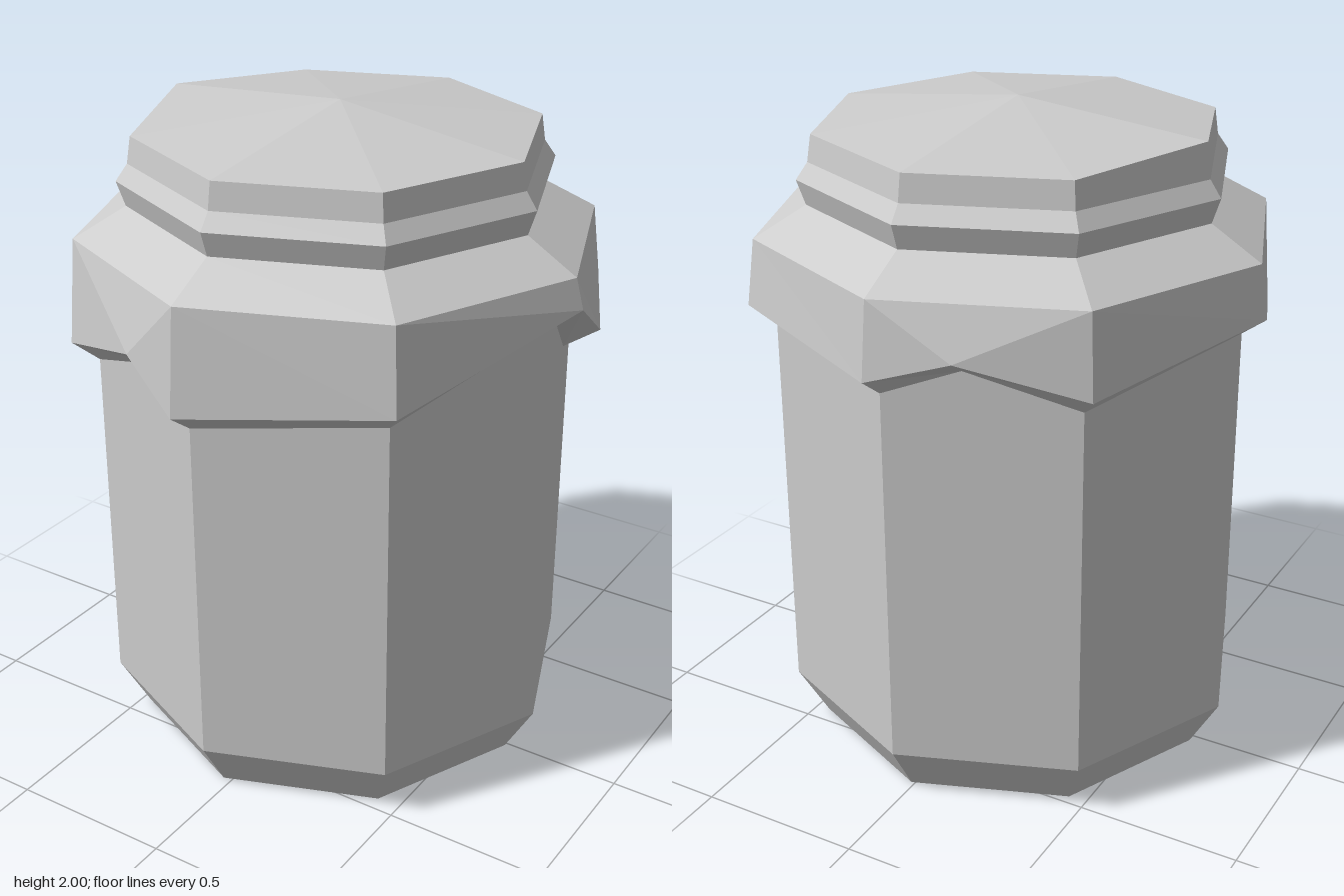
import * as THREE from 'three';

const CX = -0.008, CZ = -0.008;   // axis of the jar
const TURN = 1.75;                // slight twist of the octagon, degrees
const rad = THREE.MathUtils.degToRad;

// Columns round the jar: [angle, height of the cloth hem]; those between corners are folds
const columns = [
  [0, 1.54], [45, 1.37], [90, 1.31], [104, 1.435], [135, 1.305], [180, 1.47],
  [225, 1.38], [252, 1.48], [270, 1.40], [315, 1.43], [333.5, 1.33],
];
const corners = columns.filter(([a]) => a % 45 === 0);

// Radius on the octagon's side at a given angle (corner radius r)
const side = (r, a) => r * Math.cos(rad(22.5)) / Math.cos(rad(a % 45 - 22.5));

function point(a, r, y) {
  const t = rad(a + TURN);
  return new THREE.Vector3(CX + r * Math.cos(t), y, CZ + r * Math.sin(t));
}

const ring = (cols, r, y) => cols.map(([a]) => point(a, side(r, a), y));

// Skin a stack of rings, ordered from the bottom up
function loft(name, rings) {
  const pos = [];
  const tri = (a, b, c) => {
    const area = b.clone().sub(a).cross(c.clone().sub(a)).length();
    if (area > 1e-7) for (const p of [a, b, c]) pos.push(p.x, p.y, p.z);
  };
  for (let k = 0; k < rings.length - 1; k++) {
    const lo = rings[k], up = rings[k + 1], n = lo.length;
    for (let i = 0; i < n; i++) {
      const j = (i + 1) % n;
      // split each quad so that the diagonal runs to a corner rather than a fold
      if (columns.length === n && columns[j][0] % 45 !== 0) {
        tri(lo[i], up[i], lo[j]);
        tri(lo[j], up[i], up[j]);
      } else {
        tri(lo[i], up[j], lo[j]);
        tri(lo[i], up[i], up[j]);
      }
    }
  }
  const geo = new THREE.BufferGeometry();
  geo.setAttribute('position', new THREE.Float32BufferAttribute(pos, 3));
  geo.computeVertexNormals();
  const mesh = new THREE.Mesh(geo, new THREE.MeshStandardMaterial({ color: 0xcccccc, flatShading: true }));
  mesh.name = name;
  return mesh;
}

export function createModel() {
  const group = new THREE.Group();
  group.name = 'jar';

  // Octagonal jar with a bevelled foot
  group.add(loft('jarBody', [[0, 0], [0.635, 0], [0.7275, 0.16], [0.7275, 1.6]]
    .map(([r, y]) => ring(corners, r, y))));

  // Cloth cover with an uneven hem folded back to the jar
  const inner = columns.map(([a, y]) => point(a, side(0.7275, a), y - 0.06));
  const hem = columns.map(([a, y]) => point(a, a % 45 === 0 ? 0.807 : 0.78, y));
  group.add(loft('clothCover', [inner, hem, ring(columns, 0.782, 1.63), ring(columns, 0.625, 1.72)]));

  // Stepped lid with a low peaked top
  const lid = [[0.625, 1.72], [0.65, 1.795], [0.615, 1.845], [0.603, 1.925], [0, 2]]
    .map(([r, y]) => ring(corners, r, y));
  lid[3][4].y = 1.95; // one raised corner of the rim
  group.add(loft('lid', lid));

  return group;
}
